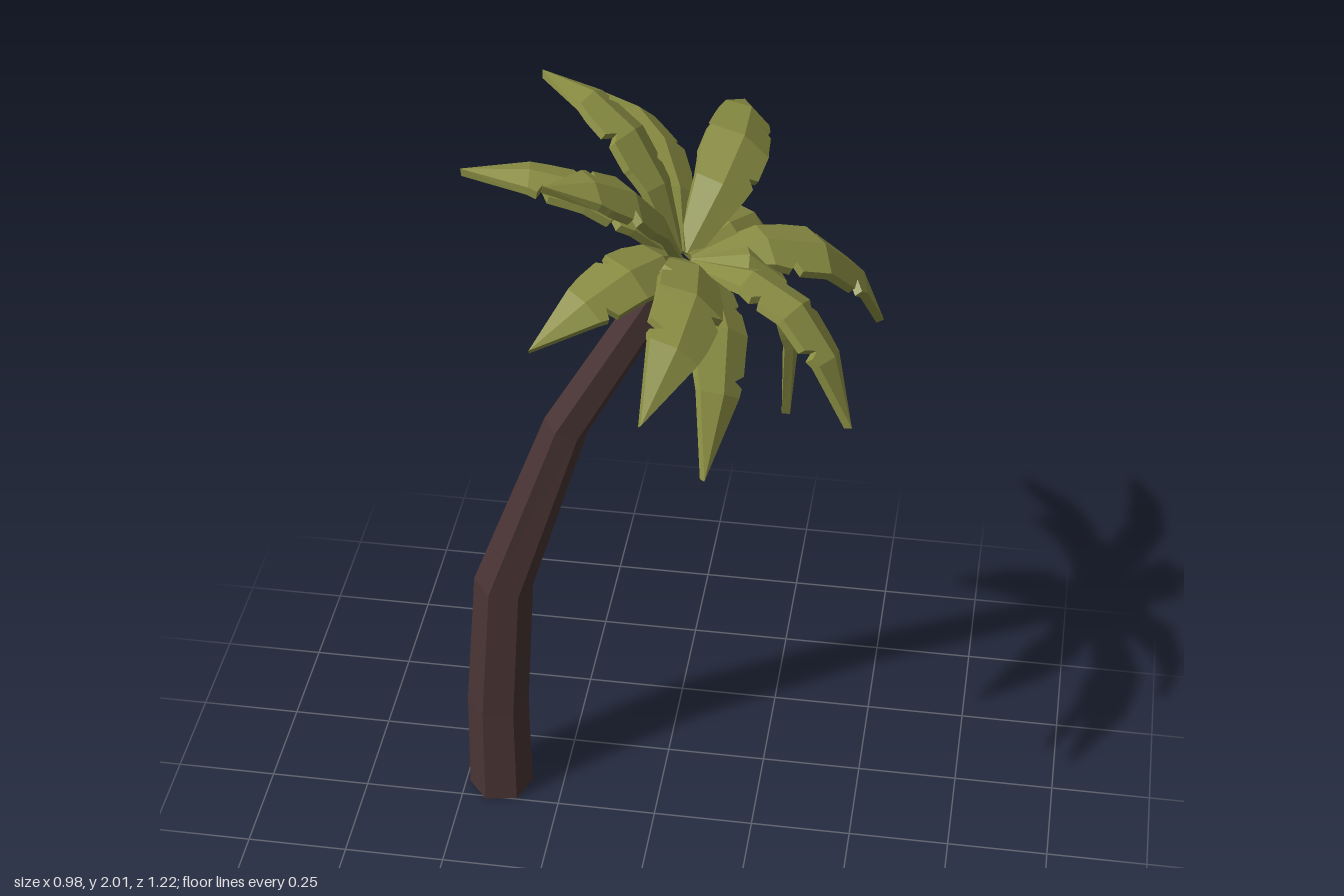
import * as THREE from 'three';

// Skin a list of equal-length vertex loops, with flat facets and closed ends
function loft(loops) {
  const pos = [];
  const tri = (a, b, c) => pos.push(...a, ...b, ...c);
  const n = loops[0].length;
  for (let i = 0; i < loops.length - 1; i++) {
    for (let j = 0; j < n; j++) {
      const k = (j + 1) % n, A = loops[i], B = loops[i + 1];
      tri(A[j], A[k], B[k]);
      tri(A[j], B[k], B[j]);
    }
  }
  const first = loops[0], last = loops[loops.length - 1];
  for (let j = 1; j < n - 1; j++) {
    tri(first[0], first[j + 1], first[j]);
    tri(last[0], last[j], last[j + 1]);
  }
  const geo = new THREE.BufferGeometry();
  geo.setAttribute('position', new THREE.Float32BufferAttribute(pos, 3));
  geo.computeVertexNormals();
  return geo;
}

// Bent six-sided trunk: x, y, radius, lean of each ring
function trunkGeometry() {
  const rings = [
    [-0.41, 0, 0.08, 0], [-0.41, 0.28, 0.077, 0.03], [-0.385, 0.66, 0.073, 0.15],
    [-0.22, 1.15, 0.055, 0.4], [0.042, 1.62, 0.046, 0.5],
  ];
  return loft(rings.map(([x, y, r, lean]) => Array.from({ length: 6 }, (_, j) => {
    const a = (10 + 60 * j) * Math.PI / 180, u = r * Math.cos(a);
    return [x + u * Math.cos(lean), y - u * Math.sin(lean), -0.065 - r * Math.sin(a)];
  })));
}

// Frond outline: position along the rib, half widths of the two sides (with torn notches)
const OUTLINE = [
  [0, 0.3, 0.3], [0.25, 0.85, 0.8], [0.32, 0.95, 0.9], [0.35, 0.7, 0.95], [0.37, 1, 1],
  [0.5, 1, 1.02], [0.53, 0.98, 0.65], [0.56, 0.96, 1], [0.66, 0.92, 0.92],
  [0.69, 0.5, 0.88], [0.71, 0.85, 0.84], [0.75, 0.76, 0.77], [1, 0, 0],
];

// Arched frond running along +x, folded down on both sides of its rib
function frondGeometry(reach, tip, bulge, width, flip) {
  const start = 0.02, thick = 0.02, fold = 0.3;
  const knot = (t) => {
    const x = start + (reach - start) * t, y = tip * t + 4 * bulge * t * (1 - t);
    const n = new THREE.Vector2(-(tip + 4 * bulge * (1 - 2 * t)), reach - start).normalize();
    return [x, y, n.x, n.y];
  };
  return loft(OUTLINE.map(([t, a, b]) => {
    // straight rib segments between four bends
    const s = Math.min(3, Math.floor(t * 4)), f = t * 4 - s;
    const k0 = knot(s / 4), k1 = knot((s + 1) / 4);
    const [x, y, nx, ny] = k0.map((v, i) => v + (k1[i] - v) * f);
    const left = width * (flip ? b : a), right = width * (flip ? a : b);
    const p = (side, up) => [x + nx * up, y + ny * up, -side];
    const top = thick / 2, low = -thick / 2;
    return [
      p(right, low - fold * right), p(right, top - fold * right), p(0, top),
      p(-left, top - fold * left), p(-left, low - fold * left), p(0, low),
    ];
  }));
}

// Angle around the crown, reach, tip height, arch, half width
const FRONDS = [
  [-90, 0.54, 0.12, 0.125, 0.078], [-122, 0.56, -0.02, 0.1, 0.068],
  [-159, 0.51, 0.12, 0.1, 0.068], [171, 0.546, -0.045, 0.085, 0.065],
  [140, 0.525, 0.18, 0.09, 0.068], [118, 0.53, -0.11, 0.1, 0.068],
  [90, 0.665, 0, 0.14, 0.078], [63, 0.51, -0.19, 0.135, 0.068],
  [22, 0.53, -0.05, 0.13, 0.07], [-10, 0.436, -0.28, 0.19, 0.068],
  [-34, 0.666, -0.11, 0.15, 0.076], [-64, 0.505, -0.18, 0.135, 0.068],
];

export function createModel() {
  const bark = new THREE.MeshStandardMaterial({ color: 0x4a3434 });
  bark.name = 'dark brown bark';
  const leaf = new THREE.MeshStandardMaterial({ color: 0x8c9044 });
  leaf.name = 'olive green leaf';

  const model = new THREE.Group();
  model.name = 'palmTree';

  const trunk = new THREE.Mesh(trunkGeometry(), bark);
  trunk.name = 'trunk';
  model.add(trunk);

  // Crown leans with the top of the trunk
  const crown = new THREE.Group();
  crown.name = 'crown';
  crown.position.set(0.06, 1.64, -0.065);
  crown.rotation.z = -Math.PI / 6;
  model.add(crown);

  FRONDS.forEach(([angle, reach, tip, bulge, width], i) => {
    const frond = new THREE.Mesh(frondGeometry(reach, tip, bulge, width, i % 2 === 1), leaf);
    frond.name = `frond${i + 1}`;
    frond.rotation.y = -angle * Math.PI / 180;
    crown.add(frond);
  });
  return model;
}
